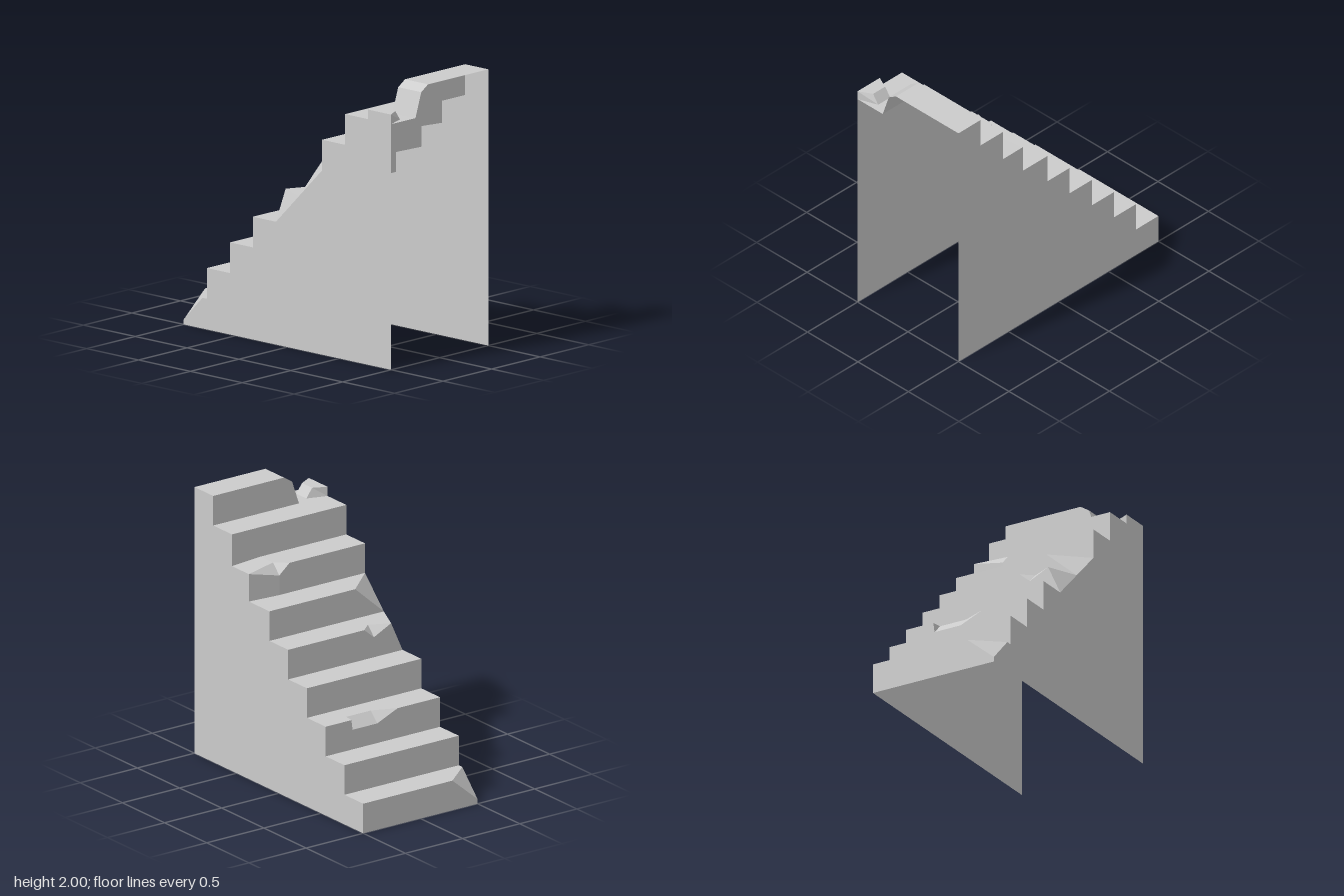
import * as THREE from 'three';

const COUNT = 9, H = 2 / COUNT, W = 0.5;

// Chips along each step's front edge: [x, drop down the riser, set-back on the tread]
const L = [-W, 0, 0], R = [W, 0, 0];
const chips = {
  0: [[-W, 0.187, 0.18], [-0.28, 0, 0], R],
  2: [L, [-0.13, 0, 0], [0.05, 0.075, 0.075], [0.265, 0.075, 0.075], [0.275, 0, 0], R],
  4: [[-W, H, H], [-0.4, 0, 0], [-0.25, 0.072, 0.072], [-0.165, 0, 0], R],
  5: [[-W, H, H], [-0.25, 0, 0], [0.25, 0, 0], R],
  6: [L, [0.16, 0, 0], [0.25, 0.075, 0.075], R],
  7: [L, [0.25, 0, 0], R],
};
// The top step is broken through its whole depth
const topEdge = [[-0.25, H], [-0.19, 0.045], [-0.12, 0], [W, 0]];
const STUB_TOP = 1.847;

// The worn right corner of one step sinks down and back
function wear([x, y, z]) {
  if (x < W - 0.01) return [x, y, z];
  return [x, Math.abs(y - 7 * H) < 0.005 ? y - 0.016 : y,
    Math.abs(z - (6 * H - 1)) < 0.005 ? z + 0.022 : z];
}

// Flat mesh from convex polygons
function polyMesh(name, polys) {
  const pos = [];
  for (const poly of polys) {
    const p = poly.map(wear);
    for (let i = 1; i < p.length - 1; i++) {
      const [a, b, c] = [p[0], p[i], p[i + 1]].map((v) => new THREE.Vector3(...v));
      const area = b.clone().sub(a).cross(c.clone().sub(a)).length();
      if (area > 1e-6) pos.push(...p[0], ...p[i], ...p[i + 1]);
    }
  }
  const geo = new THREE.BufferGeometry();
  geo.setAttribute('position', new THREE.Float32BufferAttribute(pos, 3));
  geo.computeVertexNormals();
  const mesh = new THREE.Mesh(geo, new THREE.MeshStandardMaterial({
    color: 0xcccccc, flatShading: true, side: THREE.DoubleSide,
  }));
  mesh.name = name;
  return mesh;
}

// Quads joining matching points of successive cross-sections
function loft(sections) {
  const quads = [];
  for (let i = 0; i < sections.length - 1; i++) {
    const a = sections[i], b = sections[i + 1];
    for (let j = 0; j < a.length - 1; j++) quads.push([a[j], a[j + 1], b[j + 1], b[j]]);
  }
  return quads;
}

export function createModel() {
  const model = new THREE.Group();
  model.name = 'brokenStaircase';
  const leftWall = [], rightWall = [];

  for (let k = 0; k < COUNT; k++) {
    const y0 = k * H, y1 = y0 + H, z0 = -1 + k * H, z1 = z0 + H;
    const edge = chips[k] || [L, R];
    const last = k === COUNT - 1;

    // Riser, chipped edge and tread
    const sections = last
      ? topEdge.map(([x, d]) => [[x, y0, z0], [x, y1 - d, z0], [x, y1 - d, z1]])
      : edge.map(([x, d, b]) => [[x, y0, z0], [x, y1 - d, z0], [x, y1, z0 + b], [x, y1, z1]]);
    model.add(polyMesh(last ? 'topStep' : `step${k + 1}`, loft(sections)));

    // Wall column below this step on each side
    const column = (x, top, d, b) =>
      [[x, 0, z0], [x, 0, z1], [x, top, z1], [x, top, z0 + b], [x, top - d, z0]];
    leftWall.push(column(W, y1, 0, 0).reverse());
    rightWall.push(last ? column(-W, STUB_TOP, 0, 0) : column(-W, y1, edge[0][1], edge[0][2]));
  }
  model.add(polyMesh('leftWall', leftWall), polyMesh('rightWall', rightWall));

  // Floor of the gap in the top step
  const y = 8 * H, z0 = 1 - H;
  model.add(polyMesh('gapFloor', [[[-W, y, z0], [-W, y, 1], [-0.25, y, 1], [-0.25, y, z0]]]));

  // Tapered stub left standing beside the gap
  const root = [[-W, y, z0], [-W, STUB_TOP, z0], [-W, STUB_TOP, 1], [-W, y, 1]];
  const tip = [[-0.35, y, 0.825], [-0.4, STUB_TOP, 0.825], [-0.4, STUB_TOP, 0.945], [-0.35, y, 0.945]];
  model.add(polyMesh('brokenStub', [...loft([root, tip]), tip]));

  return model;
}
